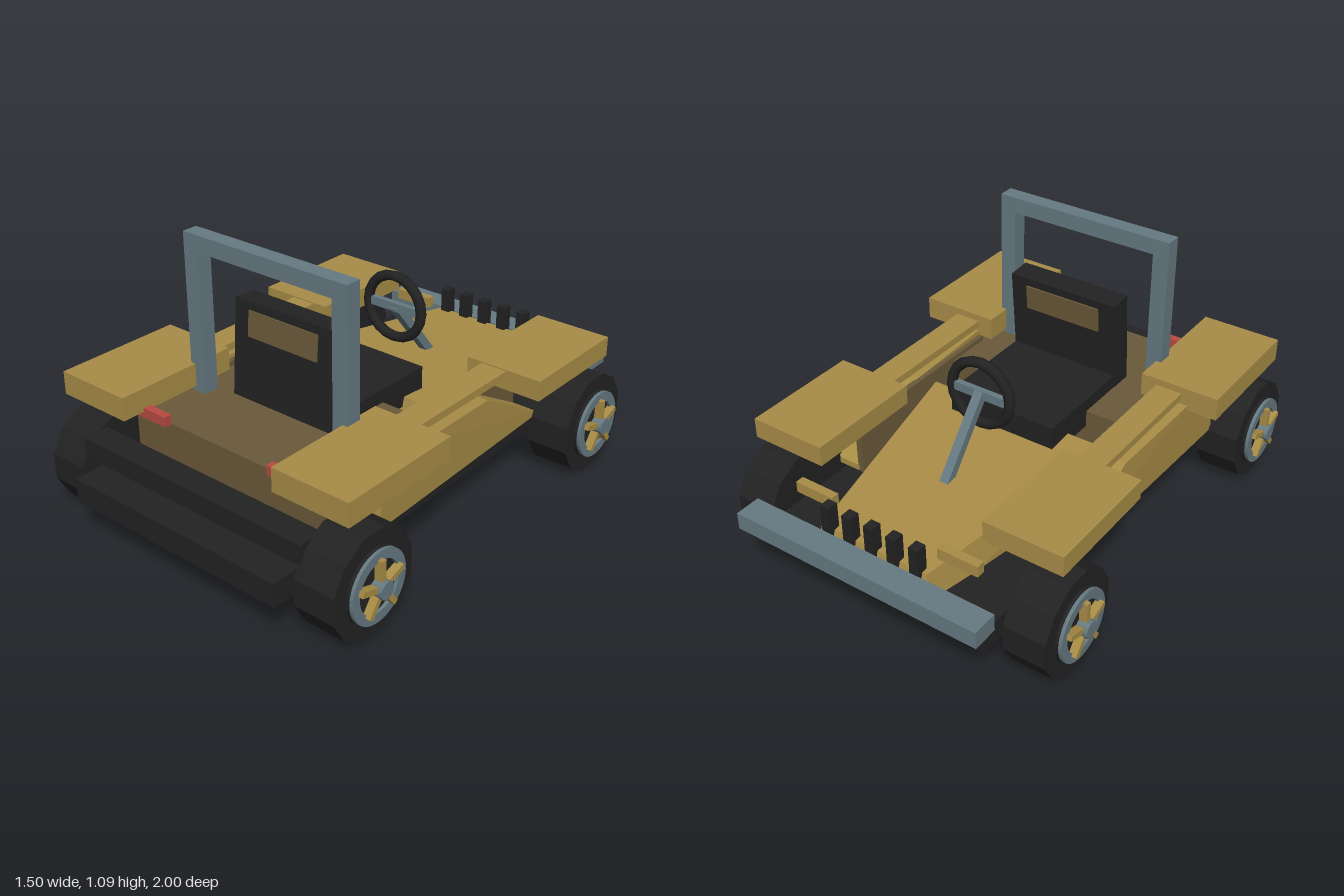
import * as THREE from 'three';
import { ConvexGeometry } from 'three/addons/geometries/ConvexGeometry.js';

function mat(name, color) {
  const m = new THREE.MeshStandardMaterial({ color });
  m.name = name;
  return m;
}

export function createModel() {
  const gold = mat('gold paint', 0xa98d47);
  const brown = mat('dark bronze', 0x6b5a3a);
  const black = mat('black', 0x222222);
  const steel = mat('blue grey steel', 0x667a82);
  const red = mat('red lamp', 0xb84a42);

  const car = new THREE.Group();
  car.name = 'openBuggy';

  function add(name, geo, material, parent = car) {
    const m = new THREE.Mesh(geo, material);
    m.name = name;
    parent.add(m);
    return m;
  }
  // Box given by its limits on each axis
  function box(name, material, [x0, x1], [y0, y1], [z0, z1], parent = car) {
    const m = add(name, new THREE.BoxGeometry(x1 - x0, y1 - y0, z1 - z0), material, parent);
    m.position.set((x0 + x1) / 2, (y0 + y1) / 2, (z0 + z1) / 2);
    return m;
  }
  // The same box on both sides
  function pair(name, material, [x0, x1], y, z) {
    box(name + 'Left', material, [x0, x1], y, z);
    box(name + 'Right', material, [-x1, -x0], y, z);
  }
  const hull = (pts) => new ConvexGeometry(pts.map((p) => new THREE.Vector3(...p)));

  // Chassis and bumpers
  box('chassis', black, [-0.49, 0.49], [0.16, 0.255], [-0.9, 1]);
  box('rearBumper', black, [-0.53, 0.53], [0.295, 0.375], [0.81, 0.915]);
  box('frontBumper', steel, [-0.53, 0.53], [0.285, 0.355], [-1, -0.895]);

  // Tub: rear deck and cockpit walls
  box('rearDeck', brown, [-0.43, 0.43], [0.27, 0.46], [0.13, 0.74]);
  pair('cockpitWall', brown, [0.405, 0.43], [0.255, 0.48], [-0.46, 0.33]);

  // Tapered hood with slanted nose and rear edge
  const hood = [];
  for (const s of [-1, 1]) {
    hood.push([s * 0.4, 0.43, 0], [s * 0.235, 0.36, -0.875],
      [s * 0.25, 0.19, -0.92], [s * 0.405, 0.25, 0.05]);
  }
  add('hood', hull(hood), gold);
  for (let i = -2; i <= 2; i++) {
    box('grillePost', black, [i * 0.098 - 0.02, i * 0.098 + 0.02], [0.3, 0.465], [-0.895, -0.85]);
  }
  pair('noseBar', gold, [0.235, 0.405], [0.39, 0.435], [-0.815, -0.78]);

  // Side pods: side profile as z, y and outer x
  const profile = [
    [0.56, 0.26, 0.565], [0.53, 0.49, 0.57], [0.33, 0.5, 0.565],
    [-0.1, 0.48, 0.545], [-0.46, 0.28, 0.53], [-0.46, 0.255, 0.53],
  ];
  for (const s of [-1, 1]) {
    const pts = profile.flatMap(([z, y, x]) => [[s * 0.425, y, z], [s * x, y, z]]);
    add(s > 0 ? 'sidePodLeft' : 'sidePodRight', hull(pts), gold);
  }
  pair('sideRail', gold, [0.425, 0.535], [0.515, 0.545], [-0.235, 0.33]);

  // Fenders and rear lamps
  pair('rearFender', gold, [0.36, 0.687], [0.48, 0.573], [0.33, 0.86]);
  pair('frontFender', gold, [0.36, 0.683], [0.468, 0.55], [-0.725, -0.23]);
  pair('rearLamp', red, [0.25, 0.39], [0.455, 0.495], [0.735, 0.768]);

  // Roll hoop
  pair('hoopPost', steel, [0.315, 0.382], [0.45, 1.03], [0.44, 0.505]);
  box('hoopBar', steel, [-0.382, 0.382], [1.03, 1.095], [0.44, 0.505]);

  // Seat
  box('seatCushion', black, [-0.235, 0.235], [0.39, 0.515], [-0.11, 0.4]);
  const back = new THREE.Group();
  back.name = 'seatBack';
  back.position.set(0, 0.44, 0.385);
  back.rotation.x = -0.08;
  car.add(back);
  box('backrest', black, [-0.237, 0.237], [0, 0.405], [-0.048, 0.048], back);
  box('headPad', brown, [-0.165, 0.165], [0.27, 0.372], [-0.055, 0.055], back);

  // Steering wheel and column
  const rim = add('steeringWheel', new THREE.TorusGeometry(0.13, 0.021, 8, 20), black);
  rim.position.set(0, 0.655, -0.235);
  box('steeringSpoke', steel, [-0.12, 0.12], [0.637, 0.673], [-0.248, -0.225]);
  const top = new THREE.Vector3(0, 0.66, -0.235);
  const foot = new THREE.Vector3(0, 0.37, -0.47);
  const column = add('steeringColumn', new THREE.BoxGeometry(0.038, 0.035, top.distanceTo(foot)), steel);
  column.position.copy(top).add(foot).multiplyScalar(0.5);
  column.lookAt(top);

  // Wheels, built with the outer face towards +x
  function disc(name, parent, material, r, x0, x1, sides) {
    const g = new THREE.CylinderGeometry(r, r, x1 - x0, sides).toNonIndexed();
    g.rotateY(Math.PI / sides).rotateZ(-Math.PI / 2);
    g.computeVertexNormals();
    add(name, g, material, parent).position.x = (x0 + x1) / 2;
  }
  function makeWheel(name, side, z) {
    const w = new THREE.Group();
    w.name = name;
    disc('tyre', w, black, 0.206, 0.523, 0.693, 12);
    disc('rimBacking', w, black, 0.142, 0.69, 0.704, 24);
    const ring = new THREE.Shape().absarc(0, 0, 0.138, 0, Math.PI * 2);
    ring.holes.push(new THREE.Path().absarc(0, 0, 0.1, 0, Math.PI * 2, true));
    const g = new THREE.ExtrudeGeometry(ring, { depth: 0.015, bevelEnabled: false, curveSegments: 20 });
    add('rimRing', g.rotateY(Math.PI / 2), steel, w).position.x = 0.702;
    for (let i = 0; i < 5; i++) {
      const spoke = new THREE.BoxGeometry(0.035, 0.09, 0.022);
      spoke.translate(0.718, 0.065, 0).rotateX((i * Math.PI * 2) / 5);
      add('spoke', spoke, gold, w);
    }
    disc('hub', w, steel, 0.034, 0.7, 0.75, 12);
    disc('axle', w, steel, 0.025, 0.4, 0.53, 12);
    w.position.set(0, 0.205, z);
    if (side < 0) w.rotation.y = Math.PI;
    car.add(w);
  }
  for (const side of [-1, 1]) {
    const label = side > 0 ? 'Left' : 'Right';
    makeWheel('rearWheel' + label, side, 0.742);
    makeWheel('frontWheel' + label, side, -0.642);
  }
  return car;
}
